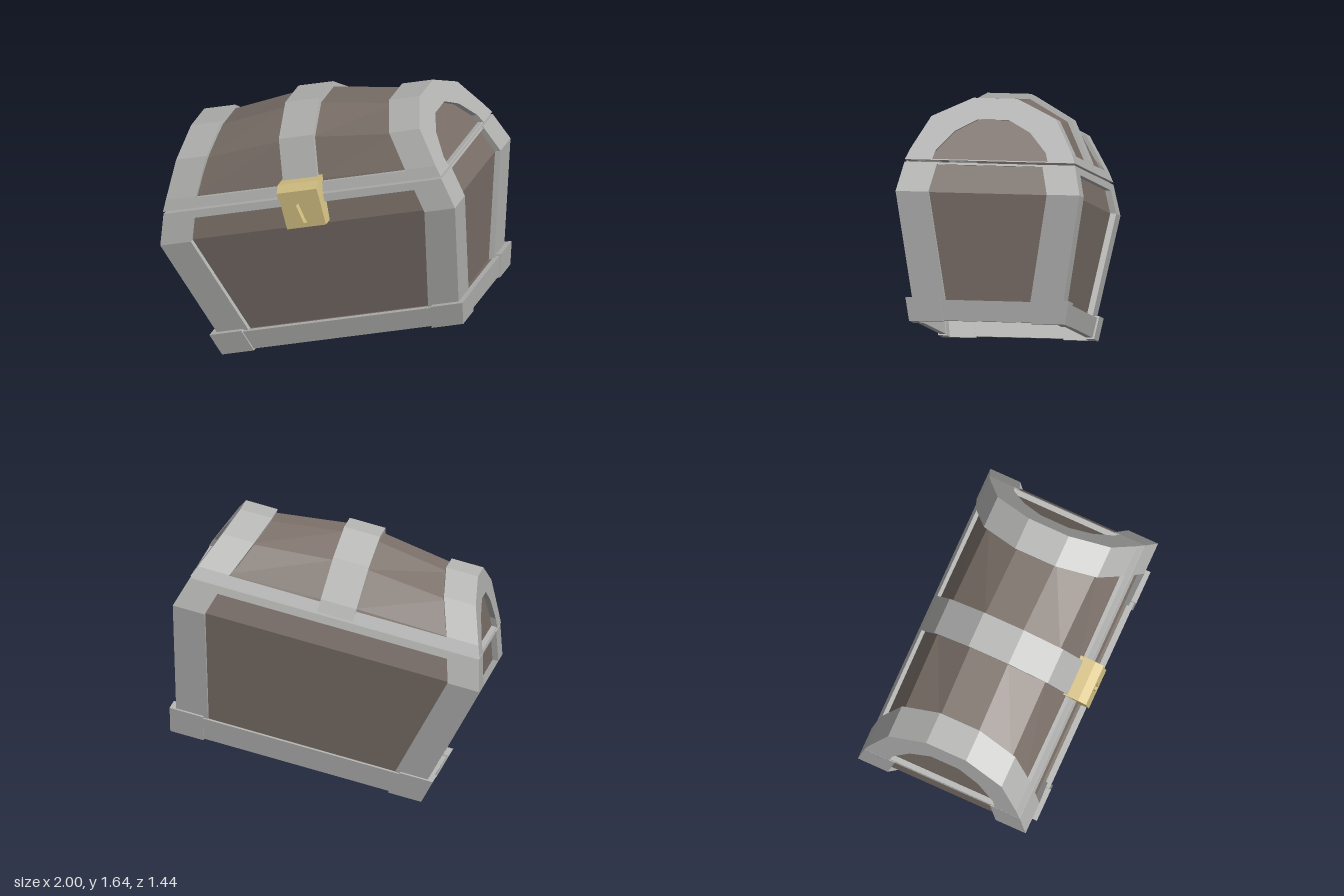
import * as THREE from 'three';

const iron = new THREE.MeshStandardMaterial({ color: 0xb2b2b1 });
iron.name = 'iron grey';
const wood = new THREE.MeshStandardMaterial({ color: 0x7a6f68, side: THREE.DoubleSide });
wood.name = 'wood brown';
const brass = new THREE.MeshStandardMaterial({ color: 0xd4c082 });
brass.name = 'brass';

const BAND = 0.192, THICK = 0.06, SINK = 0.035, ROOF_SINK = 0.025;
const BODY_TOP = 1.056, LID_BASE = 1.069, RAIL_TOP = 0.264;

// Half length and half depth of the flared body at a height
const bodyLevels = [[0.138, 0.722, 0.421], [0.88, 0.925, 0.538], [BODY_TOP, 0.872, 0.498]];
function bodySize(y) {
  const i = y > 0.88 ? 1 : 0;
  const [a, b] = [bodyLevels[i], bodyLevels[i + 1]];
  const t = (y - a[0]) / (b[0] - a[0]);
  return [a[1] + (b[1] - a[1]) * t, a[2] + (b[2] - a[2]) * t];
}
// The same for the lowest facet of the lid, whose ends lean inward
const lidEnd = y => 0.872 - 0.412 * (y - LID_BASE);
const lidSize = y => [lidEnd(y), 0.497 - 0.41 * (y - LID_BASE)];

// Lid arch (z, y): outer edge and the opening of the end frames
const mirrorArch = half => [...half, ...half.slice().reverse().map(([z, y]) => [-z, y])];
const arch = mirrorArch([[0.497, LID_BASE], [0.472, 1.13], [0.364, 1.33], [0.128, 1.445]]);
const opening = mirrorArch([[0.338, LID_BASE], [0.323, 1.125], [0.22, 1.245], [0.09, 1.317]]);
const inset = ([z, y], d) => [z * (1 - d / 0.497), LID_BASE + (y - LID_BASE) * (1 - d / 0.376)];
// The lid swells upward in the middle of its length
const swell = ([z, y]) => [z, LID_BASE + (y - LID_BASE) * 1.18];

function meshFrom(triangles, material, name) {
  const geo = new THREE.BufferGeometry();
  geo.setAttribute('position', new THREE.Float32BufferAttribute(triangles.flat(2), 3));
  geo.computeVertexNormals();
  const mesh = new THREE.Mesh(geo, material);
  mesh.name = name;
  return mesh;
}

// Closed solid through loops of points; each loop is star-shaped about its first point
function loft(loops, material, name) {
  const tris = [], n = loops[0].length, last = loops[loops.length - 1];
  for (let s = 0; s < loops.length - 1; s++) {
    for (let i = 0; i < n; i++) {
      const j = (i + 1) % n;
      const [a, b, c, d] = [loops[s][i], loops[s][j], loops[s + 1][j], loops[s + 1][i]];
      tris.push([a, b, c], [a, c, d]);
    }
  }
  for (let i = 1; i < n - 1; i++) {
    tris.push([loops[0][0], loops[0][i + 1], loops[0][i]], [last[0], last[i], last[i + 1]]);
  }
  // Turn all faces outward
  let volume = 0;
  for (const [a, b, c] of tris) {
    volume += new THREE.Vector3(...a).dot(new THREE.Vector3(...b).cross(new THREE.Vector3(...c)));
  }
  return meshFrom(volume < 0 ? tris.map(([a, b, c]) => [a, c, b]) : tris, material, name);
}

// Open surface through rows of points
function sheet(rows, material, name) {
  const tris = [];
  for (let r = 0; r < rows.length - 1; r++) {
    for (let i = 0; i < rows[r].length - 1; i++) {
      const [a, b, c, d] = [rows[r][i], rows[r][i + 1], rows[r + 1][i + 1], rows[r + 1][i]];
      tris.push([a, b, c], [a, c, d]);
    }
  }
  return meshFrom(tris, material, name);
}

// L-shaped corner piece following the walls, from "out" outside to "inner" inside them
function cornerPiece(sx, sz, heights, width, out, inner, name) {
  return loft(heights.map(y => {
    const [hx, hz] = bodySize(y).map(v => v + out);
    const t = inner + out;
    return [[hx - t, hz - t], [hx - width, hz - t], [hx - width, hz], [hx, hz], [hx, hz - width], [hx - t, hz - width]]
      .map(([x, z]) => [x * sx, y, z * sz]);
  }), iron, name);
}

// Straight bar along one wall; axis 0 = end walls, axis 1 = front and back
function wallBar(size, axis, sign, y0, y1, out, inner, name) {
  const half = size(y0)[1 - axis] - 0.1;
  return loft([-half, half].map(along =>
    [[y0, out], [y1, out], [y1, -inner], [y0, -inner]].map(([y, o]) => {
      const d = sign * (size(y)[axis] + o);
      return axis ? [along, y, d] : [d, y, along];
    })), iron, name);
}

function buildBody() {
  const body = new THREE.Group();
  body.name = 'body';
  // Wooden walls, with a ledge closing them onto the base rails
  body.add(sheet([[RAIL_TOP - 0.004, 0], [RAIL_TOP - 0.004, SINK], [0.88, SINK], [1.05, SINK]].map(([y, d]) => {
    const [x, z] = bodySize(y).map(v => v - d);
    return [[-x, y, z], [x, y, z], [x, y, -z], [-x, y, -z], [-x, y, z]];
  }), wood, 'bodyPanels'));
  for (const s of [-1, 1]) {
    for (const sz of [-1, 1]) {
      body.add(cornerPiece(s, sz, [0.25, 0.88, BODY_TOP], BAND, 0, THICK, 'cornerBand'));
      body.add(cornerPiece(s, sz, [0.138, 0.274], 0.2, 0.035, 0.015, 'cornerFoot'));
    }
    for (const axis of [0, 1]) body.add(wallBar(bodySize, axis, s, 0.146, RAIL_TOP, 0.024, 0.012, 'baseRail'));
    body.add(wallBar(bodySize, 1, s, 1.012, BODY_TOP, 0, THICK, 'rimRail'));
    body.add(wallBar(bodySize, 0, s, 1.044, BODY_TOP, -0.004, THICK, 'endRim'));
  }
  return body;
}

function buildLid() {
  const lid = new THREE.Group();
  lid.name = 'lid';
  // Curved roof boards, highest under the strap
  const roof = arch.map(p => inset(p, ROOF_SINK));
  const endRow = (s, d) => roof.map(([z, y]) => [s * (lidEnd(y) - d), y, z]);
  const midRow = x => roof.map(swell).map(([z, y]) => [x, y, z]);
  lid.add(sheet([endRow(-1, 0.03), endRow(-1, BAND - 0.02), midRow(-0.1), midRow(0.1),
    endRow(1, BAND - 0.02), endRow(1, 0.03)], wood, 'roofPanel'));
  // Strap over the middle
  lid.add(loft(arch.map(p => {
    const [z, y] = swell(p), [iz, iy] = swell(inset(p, 0.05));
    return [[-0.108, iy, iz], [-0.108, y, z], [0.108, y, z], [0.108, iy, iz]];
  }), iron, 'middleStrap'));
  for (const s of [-1, 1]) {
    // Arched frame wrapping each end
    lid.add(loft(arch.map((p, i) => {
      const [z, y] = p, [qz, qy] = opening[i], [iz, iy] = inset(p, THICK);
      const x = lidEnd(y), qx = lidEnd(qy);
      return [[x - THICK, iy, iz], [x - BAND, iy, iz], [x - BAND, y, z], [x, y, z], [qx, qy, qz], [qx - THICK, qy, qz]]
        .map(([px, py, pz]) => [s * px, py, pz]);
    }), iron, 'endFrame'));
    // Wooden end inside the arch, as strips between its two halves
    lid.add(sheet(opening.slice(0, 4).map(([z, y]) =>
      [[s * (lidEnd(y) - SINK), y, z], [s * (lidEnd(y) - SINK), y, -z]]), wood, 'endPanel'));
    lid.add(wallBar(lidSize, 1, s, LID_BASE, 1.122, 0, THICK, 'lidRail'));
    lid.add(wallBar(lidSize, 0, s, LID_BASE, 1.075, -0.004, THICK, 'lidEndRim'));
  }
  return lid;
}

function buildLock() {
  const lock = new THREE.Group();
  lock.name = 'lock';
  // Front plate with a recessed keyhole
  const plate = new THREE.Shape();
  plate.moveTo(-0.122, 0.893).lineTo(0.122, 0.893).lineTo(0.122, 1.09).lineTo(-0.122, 1.09).closePath();
  const hole = new THREE.Path();
  hole.moveTo(-0.01, 0.918).lineTo(-0.03, 1.03).lineTo(-0.014, 1.064)
    .lineTo(0.014, 1.064).lineTo(0.03, 1.03).lineTo(0.01, 0.918).closePath();
  plate.holes.push(hole);
  const front = new THREE.Mesh(new THREE.ExtrudeGeometry(plate, { depth: 0.04, bevelEnabled: false }), brass);
  front.position.z = 0.533;
  front.name = 'lockPlate';
  const back = new THREE.Mesh(new THREE.BoxGeometry(0.244, 0.197, 0.09), brass);
  back.position.set(0, 0.9915, 0.488);
  back.name = 'lockCase';
  // Chamfered hasp on the lid
  const hasp = loft([-0.125, 0.125].map(x =>
    [[1.082, 0.44], [1.082, 0.583], [1.122, 0.583], [1.156, 0.535], [1.156, 0.44]].map(([y, z]) => [x, y, z])), brass, 'hasp');
  lock.add(front, back, hasp);
  lock.position.x = 0.008;
  return lock;
}

export function createModel() {
  const model = new THREE.Group();
  model.name = 'chest';
  const tilted = new THREE.Group();
  tilted.name = 'tiltedChest';
  tilted.add(buildBody(), buildLid(), buildLock());
  // The chest rests tipped up on one end and turned a little
  tilted.rotation.set(0, 0.222, 0.255, 'YZX');
  tilted.position.set(0.208, 0.057, -0.047);
  model.add(tilted);
  return model;
}
